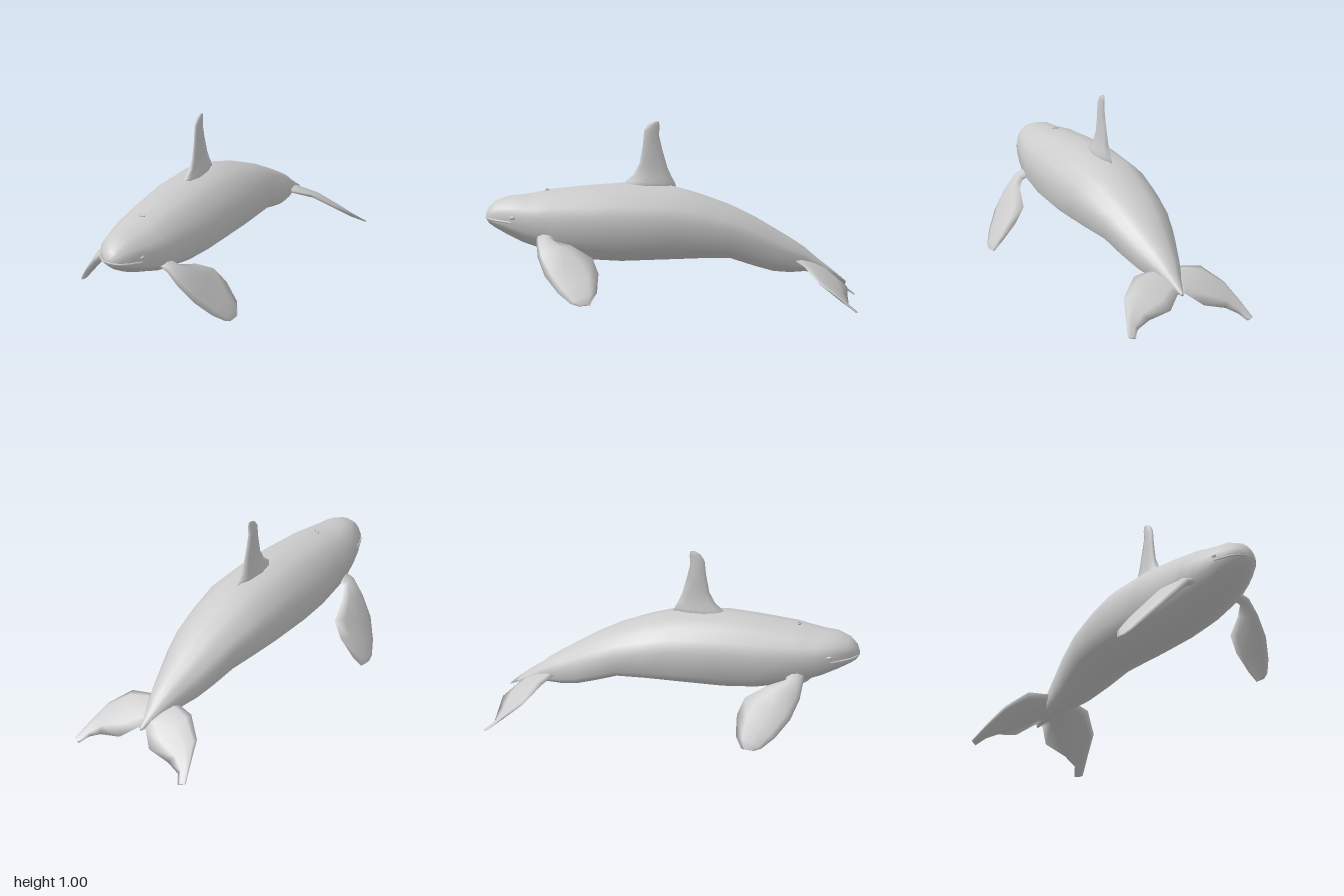
import * as THREE from 'three';

const V = (x, y, z) => new THREE.Vector3(x, y, z);
const material = new THREE.MeshStandardMaterial({ color: 0xcccccc });

function addMesh(parent, geometry, name) {
  const mesh = new THREE.Mesh(geometry, material);
  mesh.name = name;
  parent.add(mesh);
  return mesh;
}

// Skins a row of closed rings and caps both ends, faces always outward
function loft(rings) {
  const n = rings[0].length, points = rings.flat(), faces = [];
  for (let i = 0; i < rings.length - 1; i++) {
    for (let j = 0; j < n; j++) {
      const a = i * n + j, b = i * n + (j + 1) % n;
      faces.push([a, b, a + n], [b, b + n, a + n]);
    }
  }
  for (const start of [0, (rings.length - 1) * n]) {
    const centre = points.length;
    const ring = points.slice(start, start + n);
    points.push(ring.reduce((s, p) => s.add(p), V(0, 0, 0)).divideScalar(n));
    for (let j = 0; j < n; j++) {
      const a = start + j, b = start + (j + 1) % n;
      faces.push(start ? [a, b, centre] : [b, a, centre]);
    }
  }
  // A negative enclosed volume means the faces point inward
  let volume = 0;
  for (const [a, b, c] of faces) {
    volume += points[a].dot(V(0, 0, 0).crossVectors(points[b], points[c]));
  }
  const index = faces.flatMap(f => (volume < 0 ? [f[0], f[2], f[1]] : f));
  const geometry = new THREE.BufferGeometry().setFromPoints(points);
  geometry.setIndex(index);
  geometry.computeVertexNormals();
  return geometry;
}

// Tapered blade; each station is [leading edge, trailing edge, half thickness]
function blade(stations, side = 1) {
  const mids = stations.map(([l, t]) => V(...l).add(V(...t)).multiplyScalar(0.5));
  return loft(stations.map(([l, t, h], i) => {
    const lead = V(...l), trail = V(...t);
    const span = mids[Math.min(i + 1, mids.length - 1)].clone().sub(mids[Math.max(i - 1, 0)]);
    const normal = span.cross(trail.clone().sub(lead)).normalize();
    const at = (f, k) => lead.clone().lerp(trail, f).addScaledVector(normal, h * k);
    return [at(0, 0), at(0.12, 0.65), at(0.4, 1), at(0.75, 0.7), at(1, 0),
      at(0.75, -0.7), at(0.4, -1), at(0.12, -0.65)].map(p => p.setX(p.x * side));
  }));
}

// Body stations: z, top, bottom, half width
const BODY = [
  [1.0, 0.505, 0.475, 0.02], [0.985, 0.54, 0.45, 0.05], [0.95, 0.572, 0.425, 0.085],
  [0.88, 0.6, 0.385, 0.125], [0.8, 0.607, 0.345, 0.152], [0.73, 0.618, 0.32, 0.172],
  [0.65, 0.635, 0.288, 0.188], [0.45, 0.655, 0.25, 0.213], [0.27, 0.667, 0.24, 0.226],
  [0.0, 0.652, 0.248, 0.23], [-0.16, 0.605, 0.253, 0.214], [-0.32, 0.545, 0.252, 0.188],
  [-0.45, 0.48, 0.21, 0.158], [-0.55, 0.42, 0.182, 0.128], [-0.64, 0.365, 0.175, 0.098],
  [-0.715, 0.315, 0.18, 0.072], [-0.79, 0.25, 0.175, 0.04], [-0.885, 0.175, 0.158, 0.008],
];
// Half section: fraction of half width, fraction of height
const SECTION = [[0, 1], [0.4, 0.96], [0.64, 0.87], [0.85, 0.75], [1, 0.6],
  [1, 0.29], [0.75, 0.17], [0.45, 0.08], [0, 0]];

function bodyWidth(z) {
  const i = Math.max(1, BODY.findIndex(s => s[0] <= z));
  const a = BODY[i - 1], b = BODY[i];
  return THREE.MathUtils.lerp(a[3], b[3], (a[0] - z) / (a[0] - b[0]));
}

function buildBody() {
  const outline = [...SECTION, ...SECTION.slice(1, -1).reverse().map(([x, y]) => [-x, y])];
  return loft(BODY.map(([z, top, bottom, w]) =>
    outline.map(([x, y]) => V(x * w, bottom + y * (top - bottom), z))));
}

export function createModel() {
  const model = new THREE.Group();
  model.name = 'whale';
  addMesh(model, buildBody(), 'body');

  // Upright back fin
  addMesh(model, blade([
    [[0, 0.62, 0.29], [0, 0.62, -0.03], 0.04],
    [[0, 0.675, 0.245], [0, 0.665, -0.02], 0.03],
    [[0, 0.71, 0.205], [0, 0.7, 0.0], 0.019],
    [[0, 0.77, 0.173], [0, 0.75, 0.022], 0.013],
    [[0, 0.87, 0.155], [0, 0.85, 0.05], 0.012],
    [[0, 0.95, 0.147], [0, 0.925, 0.067], 0.012],
    [[0, 0.985, 0.125], [0, 0.975, 0.064], 0.01],
    [[0, 1.0, 0.1], [0, 1.0, 0.068], 0.005],
  ]), 'dorsalFin');

  for (const side of [1, -1]) {
    const label = side > 0 ? 'left' : 'right';

    // Paddle-shaped flipper
    addMesh(model, blade([
      [[0.14, 0.4, 0.73], [0.14, 0.41, 0.64], 0.02],
      [[0.2, 0.375, 0.735], [0.215, 0.385, 0.64], 0.024],
      [[0.27, 0.3, 0.73], [0.27, 0.365, 0.55], 0.024],
      [[0.35, 0.21, 0.695], [0.305, 0.3, 0.435], 0.02],
      [[0.42, 0.125, 0.625], [0.37, 0.225, 0.405], 0.016],
      [[0.462, 0.075, 0.56], [0.445, 0.13, 0.415], 0.011],
      [[0.472, 0.062, 0.52], [0.472, 0.068, 0.45], 0.005],
    ], side), label + 'Flipper');

    // Tail fluke
    addMesh(model, blade([
      [[0, 0.25, -0.69], [0, 0.168, -0.87], 0.02],
      [[0.1, 0.25, -0.67], [0.025, 0.165, -0.875], 0.02],
      [[0.2, 0.245, -0.7], [0.1, 0.11, -0.945], 0.018],
      [[0.3, 0.165, -0.78], [0.23, 0.075, -0.945], 0.014],
      [[0.34, 0.09, -0.885], [0.3, 0.035, -0.95], 0.009],
      [[0.376, 0.012, -0.98], [0.335, 0.002, -1.0], 0.004],
    ], side), label + 'Fluke');

    // Eye bump
    const eye = addMesh(model, new THREE.SphereGeometry(0.016, 12, 8), label + 'Eye');
    eye.position.set(side * (bodyWidth(0.86) - 0.006), 0.495, 0.86);
    eye.scale.set(0.8, 0.7, 1.2);
  }

  // Lip line wrapping around the snout
  const half = [0.87, 0.91, 0.95, 0.985].map(z => V(bodyWidth(z), 0.468 + (z - 0.87) * 0.1, z));
  const lip = new THREE.CatmullRomCurve3([
    ...half, V(0, 0.482, 0.998), ...half.map(p => V(-p.x, p.y, p.z)).reverse()]);
  addMesh(model, new THREE.TubeGeometry(lip, 40, 0.006, 6), 'lip');

  // Blowhole
  const blowhole = addMesh(model, new THREE.TorusGeometry(0.014, 0.005, 6, 14), 'blowhole');
  blowhole.rotation.x = Math.PI / 2;
  blowhole.scale.y = 0.6;
  blowhole.position.set(0, 0.632, 0.67);

  return model;
}
